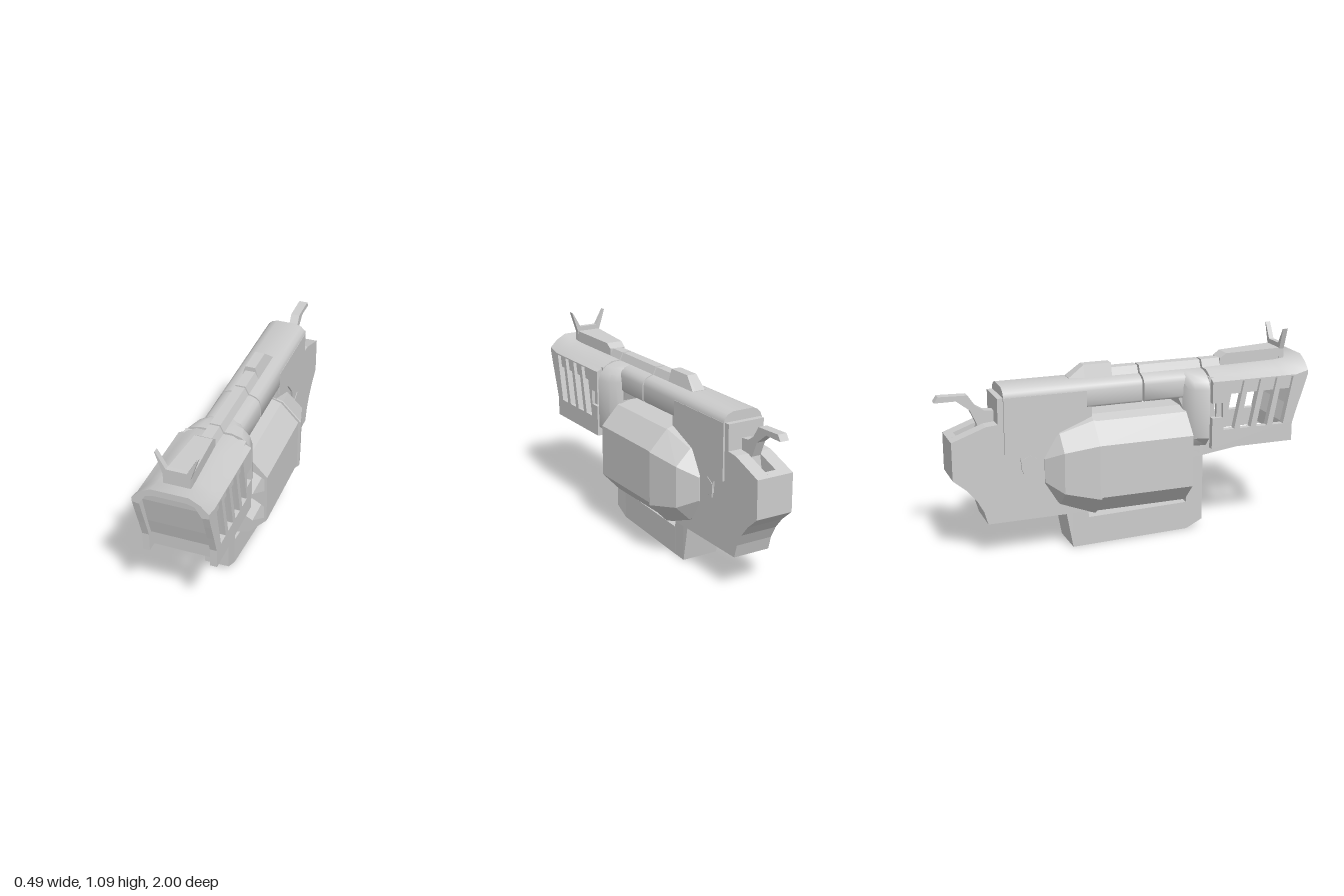
import * as THREE from 'three';
import { toCreasedNormals } from 'three/addons/utils/BufferGeometryUtils.js';

const material = new THREE.MeshStandardMaterial({ color: 0xcccccc });

export function createModel() {
  const model = new THREE.Group();
  const V = (p) => new THREE.Vector2(p[0], p[1]);

  const add = (name, geometry) => {
    const mesh = new THREE.Mesh(geometry, material);
    mesh.name = name;
    model.add(mesh);
  };

  // Flat plate: a [z, y] outline extruded across x from x0 to x1
  const slab = (name, outline, x0, x1, holes = []) => {
    const shape = new THREE.Shape(outline.map(V));
    holes.forEach((h) => shape.holes.push(new THREE.Path(h.map(V))));
    const g = new THREE.ExtrudeGeometry(shape, { depth: x1 - x0, bevelEnabled: false });
    add(name, g.rotateY(-Math.PI / 2).translate(x1, 0, 0));
  };
  const centred = (name, outline, half) => slab(name, outline, -half, half);
  const pair = (name, outline, x0, x1, holes) => {
    slab(name + 'Left', outline, x0, x1, holes);
    slab(name + 'Right', outline, -x1, -x0, holes);
  };

  // Skin through matching [x, y] sections, listed as [z, points] from back to front
  const loft = (name, sections, crease = 0) => {
    const loops = sections.map(([z, pts]) => {
      const v = pts.map(V);
      if (THREE.ShapeUtils.isClockWise(v)) v.reverse();
      return { z, v };
    });
    const pos = [];
    const put = (l, i) => pos.push(l.v[i].x, l.v[i].y, l.z);
    const n = loops[0].v.length;
    for (let s = 0; s + 1 < loops.length; s++) {
      const a = loops[s], b = loops[s + 1];
      for (let i = 0; i < n; i++) {
        const j = (i + 1) % n;
        put(a, i); put(a, j); put(b, j);
        put(a, i); put(b, j); put(b, i);
      }
    }
    const first = loops[0], last = loops[loops.length - 1];
    for (const [a, b, c] of THREE.ShapeUtils.triangulateShape(first.v, [])) {
      put(first, a); put(first, c); put(first, b);
    }
    for (const [a, b, c] of THREE.ShapeUtils.triangulateShape(last.v, [])) {
      put(last, a); put(last, b); put(last, c);
    }
    const g = new THREE.BufferGeometry();
    g.setAttribute('position', new THREE.Float32BufferAttribute(pos, 3));
    g.computeVertexNormals();
    add(name, crease ? toCreasedNormals(g, crease) : g);
  };
  // Right half of a section, completed by mirroring
  const mirror = (half) => [...half, ...half.slice().reverse().map(([x, y]) => [-x, y])];
  const rect = (w, y0, y1) => mirror([[w, y0], [w, y1]]);

  // Muzzle shroud roof: a hollow arch sweeping up towards the front
  const roof = (d) => [
    ...mirror([[0.19, 0.845], [0.19, Math.max(0.852, 0.87 + d)], [0.15, 0.91 + d], [0.095, 0.94 + d]]),
    ...mirror([[-0.155, 0.84], [-0.12, 0.895 + d], [-0.08, 0.905 + d]]),
  ];
  loft('shroudRoof', [[0.44, -0.04], [0.6, -0.037], [0.85, -0.028], [0.93, -0.018], [1.0, 0]]
    .map(([z, d]) => [z, roof(d)]), 0.7);

  // Shroud side walls: leaning slots, full height outside and shorter inside
  const slots = (top) => [0, 1, 2, 3].map((i) => {
    const z = 0.86 - i * 0.097, lean = 0.054 * (top - 0.585) / 0.265;
    return [[z, 0.585], [z - 0.064, 0.585], [z - 0.068 + lean, top], [z + lean, top]];
  });
  const wall = (notch) => [
    [0.44, 0.485], [0.915, 0.485], [0.915, 0.585], [0.945, 0.68], [0.975, 0.77], [1.0, 0.85],
    [0.44, 0.85], [0.44, 0.735], [0.44 + notch, 0.735], [0.44 + notch, 0.655], [0.44, 0.655],
  ];
  pair('shroudWallOuter', wall(0.06), 0.172, 0.19, slots(0.848));
  pair('shroudWallInner', wall(0.03), 0.155, 0.172, slots(0.775));

  // Leaning face plate behind the muzzle rim, and the plate closing the shroud's back
  centred('muzzlePlate', [[0.868, 0.508], [0.885, 0.508], [0.89, 0.585], [0.92, 0.68], [0.962, 0.84], [0.968, 0.885], [0.95, 0.885], [0.905, 0.68], [0.872, 0.585]], 0.156);
  loft('shroudBackPlate', [[0.425, rect(0.16, 0.51, 0.875)], [0.465, rect(0.156, 0.51, 0.865)]]);

  // Collar that narrows from the shroud into the barrel
  const collar = (w) => mirror([
    [w * 0.75, 0.495], [w, 0.545], [w, 0.81], [w * 0.92, 0.85], [w * 0.72, 0.885], [w * 0.45, 0.9],
  ]);
  loft('collar', [[0.305, 0.11], [0.325, 0.135], [0.35, 0.163], [0.425, 0.188]]
    .map(([z, w]) => [z, collar(w)]), 0.7);

  // Top barrel in two lengths with a thin gap, joined by a core
  const barrel = mirror([[0.1, 0.76], [0.11, 0.772], [0.11, 0.85], [0.103, 0.872], [0.085, 0.889], [0.055, 0.9]]);
  loft('barrelRear', [[-0.67, barrel], [0.075, barrel]], 0.7);
  loft('barrelFront', [[0.085, barrel], [0.32, barrel]], 0.7);
  loft('barrelCore', [[0.05, rect(0.085, 0.775, 0.875)], [0.45, rect(0.085, 0.775, 0.855)]]);
  centred('barrelWeb', [[0.33, 0.68], [0.33, 0.82], [0.24, 0.82], [0.265, 0.795], [0.31, 0.7]], 0.1);

  // Rail segments and rear sight share one tapered section
  const ridge = (top) => mirror([[0.046, 0.87], [0.046, 0.9], [0.027, top]]);
  for (const [z0, z1] of [[-0.08, 0.075], [0.085, 0.43], [0.44, 0.56]]) {
    loft('rail', [[z0, ridge(0.94)], [z1, ridge(0.94)]]);
  }
  loft('rearSight', [[-0.3, ridge(0.902)], [-0.22, ridge(0.965)], [-0.07, ridge(0.965)]]);

  // Front sight: ramp and winged blade
  loft('frontSightRamp', [
    [0.545, rect(0.045, 0.88, 0.94)], [0.58, rect(0.047, 0.88, 0.965)], [0.89, rect(0.067, 0.91, 0.975)],
  ]);
  const wings = mirror([[0.068, 0.915], [0.068, 0.97], [0.105, 1.085], [0.1, 1.085], [0.052, 1.0]]);
  loft('frontSightWings', [[0.885, wings], [0.912, wings]]);

  // Faceted cylinder with six hexagonal chambers
  const cy = 0.445;
  const facets = (sx, sy) => mirror([
    [0.065, -0.265], [0.14, -0.245], [0.245, -0.14], [0.245, 0.14], [0.14, 0.245], [0.065, 0.265],
  ]).map(([x, y]) => [x * sx, cy + y * sy]);
  const hexagon = (cx, y, r) => Array.from({ length: 6 }, (_, i) => {
    const a = (i + 0.5) * Math.PI / 3;
    return [cx + r * Math.cos(a), y + r * Math.sin(a)];
  });
  const drum = new THREE.Shape(facets(0.94, 1).map(V));
  for (let i = 0; i < 6; i++) {
    const a = (i + 0.5) * Math.PI / 3;
    drum.holes.push(new THREE.Path(hexagon(0.176 * Math.cos(a), cy + 0.176 * Math.sin(a), 0.074).map(V)));
  }
  add('cylinder', new THREE.ExtrudeGeometry(drum, { depth: 0.515, bevelEnabled: false }).translate(0, 0, -0.2));

  // Recoil shield behind the cylinder
  loft('recoilShield', [
    [-0.46, facets(0.44, 0.44)], [-0.38, facets(0.79, 0.78)], [-0.205, facets(0.99, 1.03)], [-0.195, facets(0.99, 1.03)],
  ]);

  // Rear frame: two cheeks around a slotted centre
  const body = [
    [-0.94, 0.645], [-0.94, 0.445], [-0.87, 0.385], [-0.82, 0.325], [-0.785, 0.26], [-0.765, 0.19],
    [-0.2, 0.19], [-0.2, 0.78], [-0.24, 0.85], [-0.7, 0.85],
  ];
  pair('frameCheek', [...body, [-0.7, 0.715], [-0.76, 0.71]], 0.03, 0.102);
  centred('frameCentre', [...body, [-0.7, 0.62], [-0.88, 0.62], [-0.9, 0.66]], 0.03);

  // Raised side panels with hexagonal bolts
  pair('sidePanel', [
    [-0.67, 0.85], [-0.67, 0.555], [-0.59, 0.53], [-0.575, 0.44], [-0.49, 0.44], [-0.47, 0.53],
    [-0.45, 0.6], [-0.38, 0.68], [-0.23, 0.72], [-0.23, 0.85],
  ], 0.1, 0.112);
  pair('panelBolt', hexagon(-0.54, 0.49, 0.05), 0.1, 0.115);

  // Hammer
  centred('hammer', [
    [-0.7, 0.65], [-0.7, 0.77], [-0.75, 0.775], [-0.79, 0.8], [-0.83, 0.86], [-0.98, 0.865],
    [-1.0, 0.835], [-0.89, 0.835], [-0.82, 0.78], [-0.785, 0.7], [-0.8, 0.62],
  ], 0.024);

  // Lower bar tapering forwards, front post and nose under the shroud
  loft('lowerBar', [
    [-0.345, rect(0.102, 0.19, 0.2)], [-0.31, rect(0.102, 0, 0.2)], [-0.225, rect(0.098, 0, 0.2)],
    [-0.22, rect(0.098, 0, 0.155)], [0.355, rect(0.067, 0, 0.155)], [0.445, rect(0.067, 0.045, 0.155)],
  ]);
  centred('frontPost', [[0.35, 0.1], [0.445, 0.1], [0.445, 0.45], [0.35, 0.45]], 0.067);
  loft('nose', [
    [0.35, rect(0.067, 0.41, 0.485)], [0.445, rect(0.067, 0.415, 0.485)], [0.735, rect(0.05, 0.445, 0.485)],
  ]);

  return model;
}
